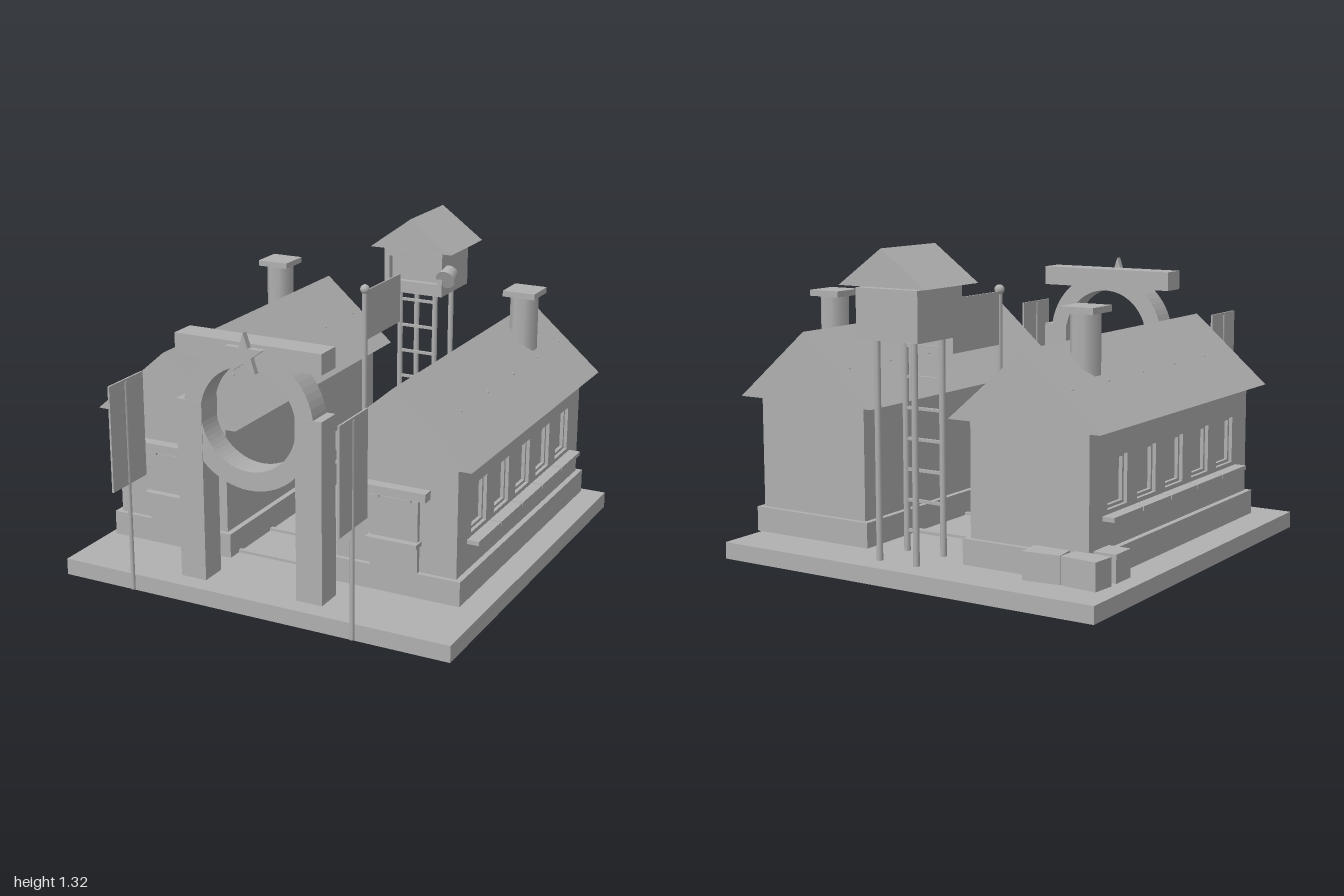
import * as THREE from 'three';

export function createModel() {
  const model = new THREE.Group();
  const grey = new THREE.MeshStandardMaterial({ color: 0xb0b0b0 });
  grey.name = 'plain grey';

  // Helpers
  const add = (name, geo, x = 0, y = 0, z = 0, parent = model) => {
    const m = new THREE.Mesh(geo, grey);
    m.name = name;
    m.position.set(x, y, z);
    parent.add(m);
    return m;
  };
  // box given by its min and max on each axis
  const box = (name, x0, x1, y0, y1, z0, z1, parent = model) =>
    add(name, new THREE.BoxGeometry(x1 - x0, y1 - y0, z1 - z0),
      (x0 + x1) / 2, (y0 + y1) / 2, (z0 + z1) / 2, parent);
  const rod = (name, x, y0, y1, z, r, sides = 10, parent = model) =>
    add(name, new THREE.CylinderGeometry(r, r, y1 - y0, sides), x, (y0 + y1) / 2, z, parent);
  const rect = (path, x0, x1, y0, y1) => {
    path.moveTo(x0, y0); path.lineTo(x1, y0); path.lineTo(x1, y1); path.lineTo(x0, y1);
    path.closePath();
    return path;
  };
  // rectangular plate with rectangular openings, extruded along z
  const plate = (outer, holes, depth) => {
    const s = rect(new THREE.Shape(), ...outer);
    holes.forEach(h => s.holes.push(rect(new THREE.Path(), ...h)));
    return new THREE.ExtrudeGeometry(s, { depth, bevelEnabled: false });
  };
  // solid gable roof, ridge along z
  const gable = (name, half, y0, y1, z0, z1, parent = model) => {
    const s = new THREE.Shape([new THREE.Vector2(-half, y0), new THREE.Vector2(half, y0), new THREE.Vector2(0, y1)]);
    return add(name, new THREE.ExtrudeGeometry(s, { depth: z1 - z0, bevelEnabled: false }), 0, 0, z0, parent);
  };

  // Ground slab and strips between the houses
  box('groundSlab', -0.873, 0.873, 0, 0.07, -0.925, 0.823);
  for (const z of [-0.468, -0.113, 0.235, 0.497])
    box('pathStrip', -0.23, 0.23, 0.106, 0.117, z - 0.009, z + 0.009);

  // Two long houses, mirrored
  const midZ = -0.12;
  for (const s of [-1, 1]) {
    const house = new THREE.Group();
    house.name = s < 0 ? 'rightHouse' : 'leftHouse';
    house.position.x = s * 0.513;
    model.add(house);
    box('foundation', -0.284, 0.284, 0.105, 0.208, -0.81, 0.57, house);
    const edge = s * 0.23;
    box('walls', Math.min(-s * 0.26, edge), Math.max(-s * 0.26, edge), 0.2, 0.67, -0.79, 0.55, house);

    // outer wall with recessed windows
    const centres = [-2, -1, 0, 1, 2].map(i => i * 0.23);
    const holes = centres.map(c => [c - 0.075, c + 0.075, 0.355, 0.548]);
    const wall = add('windowWall', plate([-0.67, 0.67, 0.2, 0.67], holes, 0.03), s < 0 ? -0.26 : 0.23, 0, midZ, house);
    wall.rotation.y = Math.PI / 2;
    for (const c of centres) {
      const frame = add('windowFrame',
        plate([c - 0.075, c + 0.075, 0.355, 0.548], [[c - 0.063, c + 0.063, 0.367, 0.536]], 0.015),
        s < 0 ? -0.245 : 0.23, 0, midZ, house);
      frame.rotation.y = Math.PI / 2;
      const sill = box('windowSill', -0.03, 0.03, 0.32, 0.338, midZ + c - 0.112, midZ + c + 0.112, house);
      sill.position.x = s * 0.28;
    }

    // front door with awning and rail
    box('door', -0.102, 0.102, 0.2, 0.505, 0.54, 0.57, house);
    box('awning', -0.146, 0.146, 0.52, 0.556, 0.54, 0.6, house);
    box('doorRail', -0.11, 0.11, 0.32, 0.338, 0.55, 0.6, house);
    for (const x of [-0.068, 0.068]) box('awningBracket', x - 0.007, x + 0.007, 0.5, 0.525, 0.55, 0.58, house);

    // roof with rivets
    gable('roof', 0.33, 0.67, 0.955, -0.838, 0.59, house);
    for (const side of [-1, 1])
      for (let i = 0; i < 5; i++)
        add('roofRivet', new THREE.SphereGeometry(0.006, 6, 4), side * 0.166, 0.812, -0.757 + i * 0.27, house);

    // chimney on the outer slope
    const chimney = rod('chimney', s * 0.087, 0.8, 1.075, -0.525, 0.06, 8, house);
    chimney.rotation.y = Math.PI / 8;
    box('chimneyCap', s * 0.087 - 0.072, s * 0.087 + 0.072, 1.07, 1.095, -0.597, -0.453, house);

    // banner beside the gate
    rod('bannerPole', s * 0.496, 0.04, 0.92, 0.89, 0.009);
    box('banner', s * 0.496 - 0.004, s * 0.496 + 0.004, 0.495, 0.93, 0.772, 1);

    // gate pillar
    box('gatePillar', s * 0.263 - 0.057, s * 0.263 + 0.057, 0.102, 0.853, 0.685, 0.8);
  }

  // Gate ring, beam and star
  const ring = new THREE.Shape().absarc(0, 0, 0.287, 0, Math.PI * 2);
  ring.holes.push(new THREE.Path().absarc(0, 0, 0.21, 0, Math.PI * 2, true));
  add('gateRing', new THREE.ExtrudeGeometry(ring, { depth: 0.108, bevelEnabled: false, curveSegments: 32 }), 0, 0.811, 0.69);
  box('gateBeam', -0.32, 0.32, 1.035, 1.118, 0.685, 0.797);
  const points = [];
  for (let i = 0; i < 10; i++) {
    const r = i % 2 ? 0.034 : 0.086, a = Math.PI / 2 + i * Math.PI / 5;
    points.push(new THREE.Vector2(r * Math.cos(a), r * Math.sin(a)));
  }
  add('gateStar', new THREE.ExtrudeGeometry(new THREE.Shape(points), { depth: 0.026, bevelEnabled: false }), 0, 1.077, 0.796);

  // Courtyard flagpole
  rod('flagpole', 0, 0.07, 1.1, -0.197, 0.012);
  add('flagpoleBall', new THREE.SphereGeometry(0.021, 16, 10), 0, 1.098, -0.197);
  box('flag', -0.004, 0.004, 0.87, 1.09, -0.54, -0.197);

  // Watchtower
  const tower = new THREE.Group();
  tower.name = 'watchtower';
  model.add(tower);
  for (const x of [-0.087, 0.087])
    for (const z of [-0.735, -0.915]) rod('towerLeg', x, 0.102, 0.98, z, 0.013, 8, tower);
  for (let i = 0; i < 7; i++)
    box('ladderRung', -0.078, 0.078, 0.18 + i * 0.1225, 0.192 + i * 0.1225, -0.741, -0.729, tower);
  box('towerCabin', -0.143, 0.143, 0.965, 1.162, -0.97, -0.71, tower);
  add('cabinFront', plate([-0.143, 0.143, 0.965, 1.162], [[-0.118, 0.118, 1.02, 1.13]], 0.03), 0, 0, -0.71, tower);
  gable('towerRoof', 0.2, 1.17, 1.315, -1, -0.652, tower);
  box('roofSeat', -0.1, 0.1, 1.155, 1.18, -0.93, -0.72, tower);
  const lamp = add('searchlight', new THREE.CylinderGeometry(0.045, 0.036, 0.062, 16), 0.16, 1.06, -0.708, tower);
  lamp.rotation.x = Math.PI / 2 + 0.4;

  // Crates behind the right house
  for (const [x, z, w, d, turn] of [
    [-0.787, -0.835, 0.155, 0.1, -0.1], [-0.62, -0.835, 0.155, 0.1, 0.1], [-0.81, -0.7, 0.115, 0.11, 0]])
    add('crate', new THREE.BoxGeometry(w, 0.11, d), x, 0.165, z).rotation.y = turn;

  return model;
}
